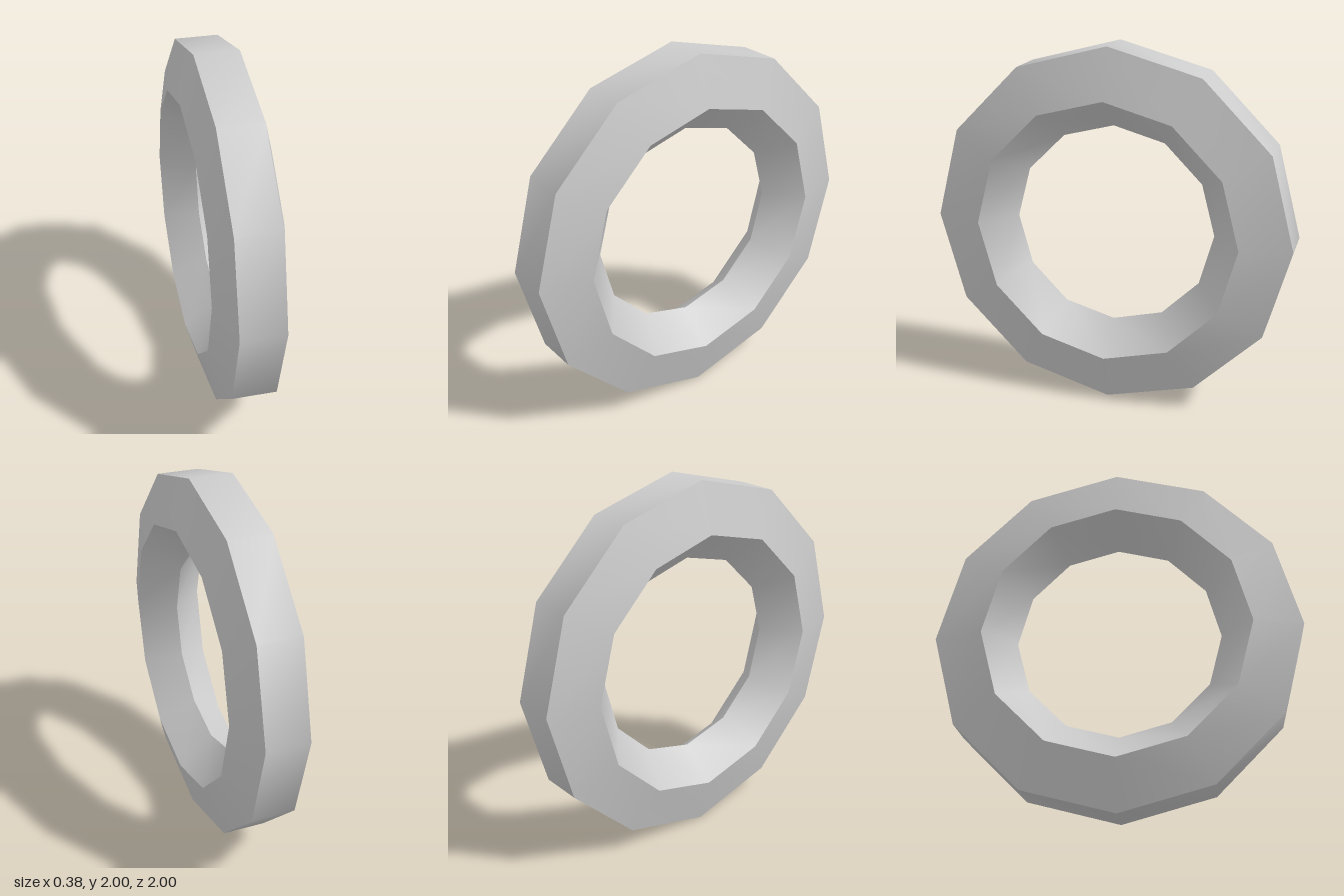
import * as THREE from 'three';
import { toCreasedNormals } from 'three/addons/utils/BufferGeometryUtils.js';

export function createModel() {
  const group = new THREE.Group();
  const material = new THREE.MeshStandardMaterial({ color: 0xcccccc });

  // Five-sided cross-section: flat rim outside, ridge pointing to the centre
  const ringRadius = 0.805, depth = 0.241, halfWidth = 0.2;
  const profile = [];
  for (let i = 0; i <= 5; i++) {
    const a = Math.PI + ((i % 5) * Math.PI * 2) / 5;
    profile.push(new THREE.Vector2(ringRadius + depth * Math.cos(a), halfWidth * Math.sin(a)));
  }

  // Swept in twelve steps: smooth around the ring, sharp along the section's edges
  const geometry = toCreasedNormals(new THREE.LatheGeometry(profile, 12), Math.PI / 4);
  geometry.rotateZ(Math.PI / 2);

  const ring = new THREE.Mesh(geometry, material);
  ring.name = 'ring';
  ring.position.y = 1;
  group.add(ring);
  return group;
}
